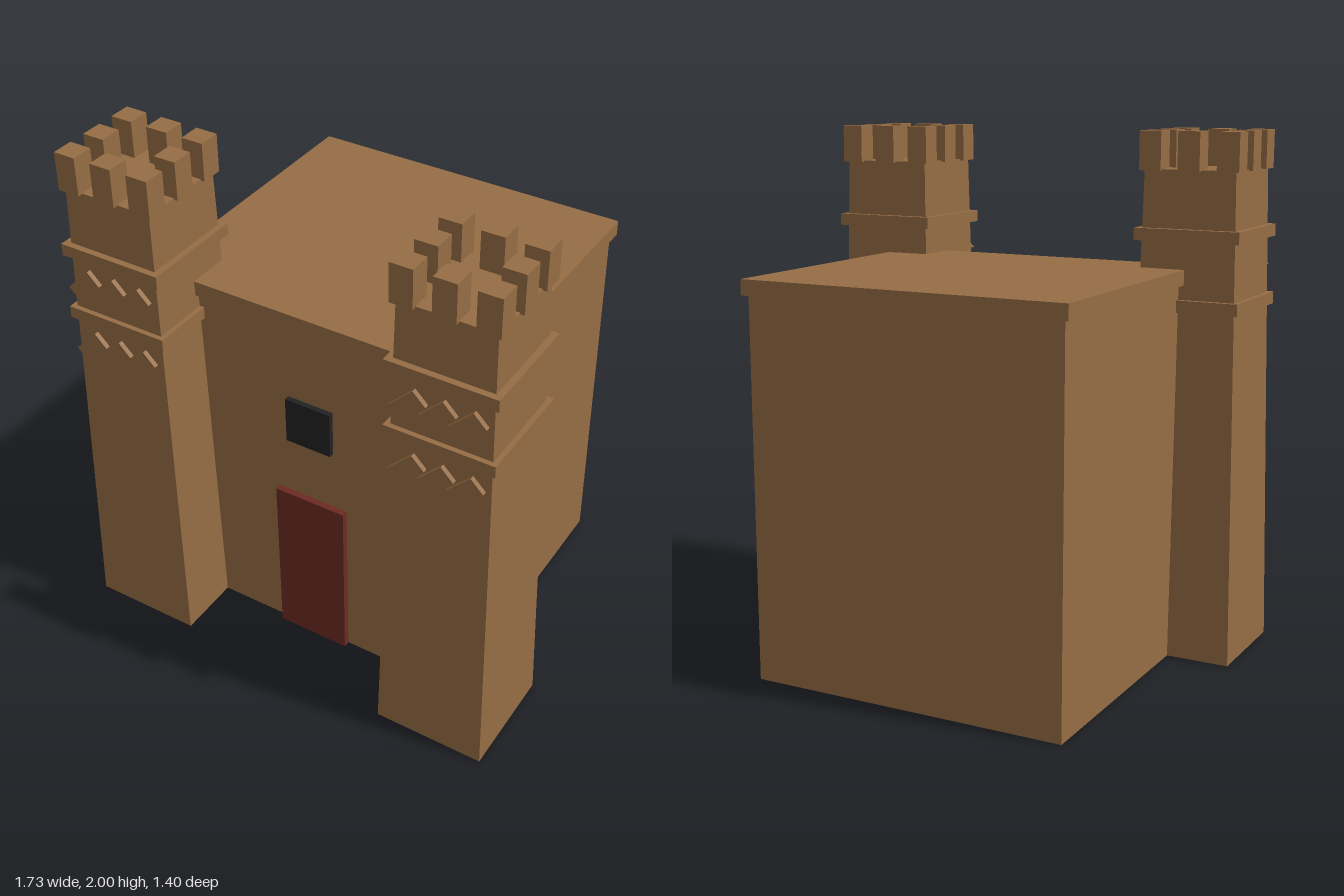
import * as THREE from 'three';

const brick = new THREE.MeshStandardMaterial({ color: 0x966d44 });
brick.name = 'brown brick';
const doorRed = new THREE.MeshStandardMaterial({ color: 0x6b2a22 });
doorRed.name = 'dark red';
const glass = new THREE.MeshStandardMaterial({ color: 0x222222 });
glass.name = 'near black';

// Box given by its size and centre
function box(name, material, [w, h, d], [x, y, z]) {
  const mesh = new THREE.Mesh(new THREE.BoxGeometry(w, h, d), material);
  mesh.name = name;
  mesh.position.set(x, y, z);
  return mesh;
}

function createTower() {
  const tower = new THREE.Group();

  // Tapered square shaft
  const height = 1.86;
  const shaftGeometry = new THREE.CylinderGeometry(
    0.1775 * Math.SQRT2, 0.215 * Math.SQRT2, height, 4, 1
  ).rotateY(Math.PI / 4).toNonIndexed();
  shaftGeometry.computeVertexNormals();
  const shaft = new THREE.Mesh(shaftGeometry, brick);
  shaft.name = 'towerShaft';
  shaft.position.y = height / 2;
  tower.add(shaft);

  // Projecting bands
  for (const y of [1.36, 1.621]) {
    tower.add(box('towerBand', brick, [0.412, 0.046, 0.412], [0, y, 0]));
  }

  // Two rows of slanted ornament bars on the front
  for (const y of [1.247, 1.508]) {
    for (let i = -1; i <= 1; i++) {
      const bar = box('slantedBar', brick, [0.129, 0.067, 0.018], [i * 0.108, y, 0.216]);
      bar.rotation.z = Math.PI / 4;
      tower.add(bar);
    }
  }

  // Ring of eight battlements
  for (let i = -1; i <= 1; i++) {
    for (let j = -1; j <= 1; j++) {
      if (i === 0 && j === 0) continue;
      tower.add(box('battlement', brick, [0.085, 0.145, 0.085], [i * 0.151, 1.9275, j * 0.151]));
    }
  }
  return tower;
}

export function createModel() {
  const model = new THREE.Group();
  model.name = 'gatehouse';

  // Main hall with a slightly overhanging roof slab
  model.add(box('hall', brick, [1.24, 1.437, 1.116], [0, 0.7185, -0.12]));
  model.add(box('roofSlab', brick, [1.28, 0.058, 1.152], [0, 1.466, -0.12]));

  // Door and window slabs on the front wall
  model.add(box('door', doorRed, [0.294, 0.685, 0.04], [0, 0.3425, 0.444]));
  model.add(box('window', glass, [0.187, 0.187, 0.04], [0, 1.03, 0.439]));

  // Towers at the front corners
  for (const side of [1, -1]) {
    const tower = createTower();
    tower.name = side > 0 ? 'leftTower' : 'rightTower';
    tower.position.set(side * 0.65, 0, 0.475);
    model.add(tower);
  }
  return model;
}
